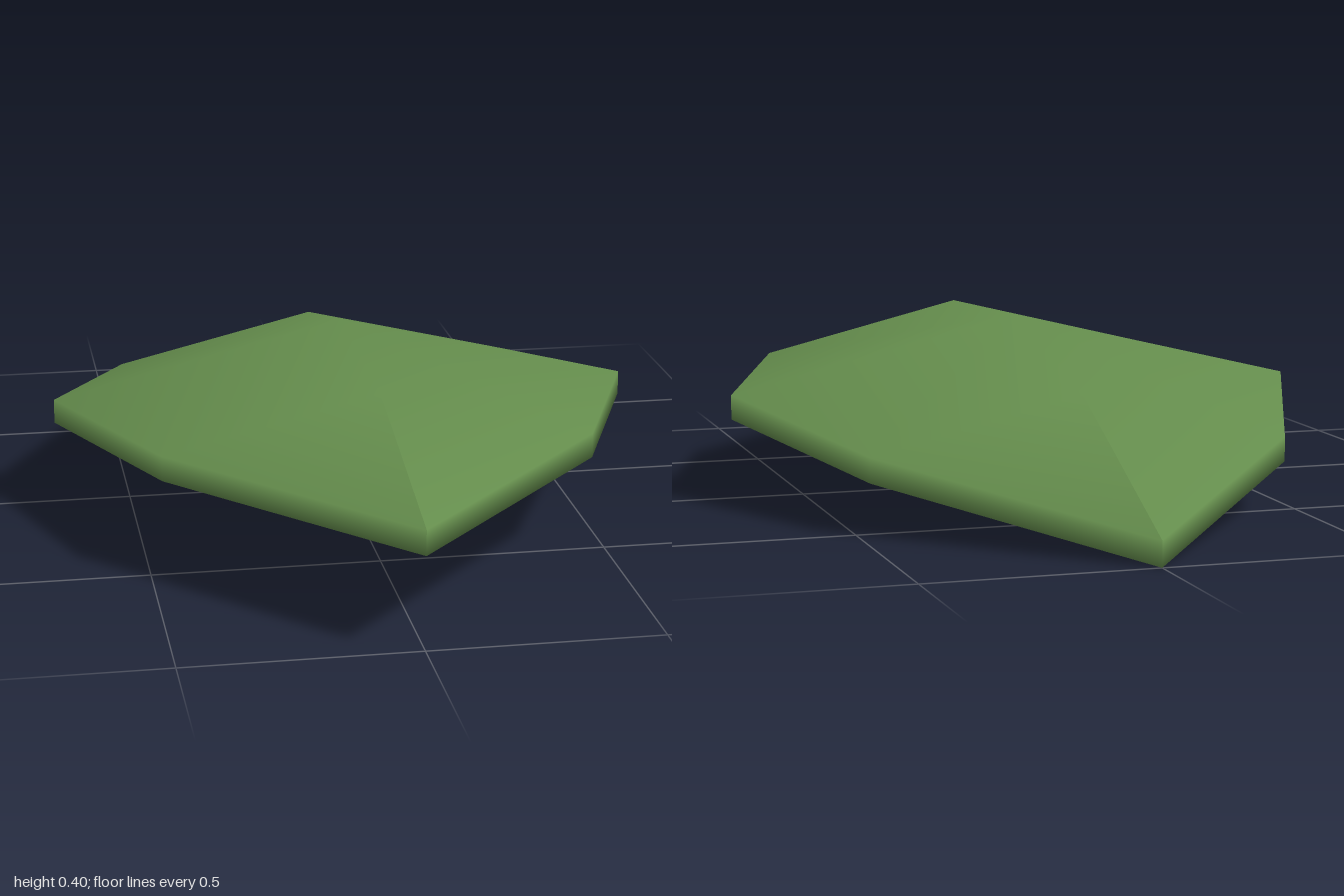
import * as THREE from 'three';

const THICKNESS = 0.055;

// Cross-sections from front tip to back tip: z, half width, ridge height, rim height
const SECTIONS = [
  [1.0, 0, 0.26, 0.26],
  [0.49, 0.47, 0.38, 0.265],
  [-0.02, 0.667, 0.4, 0.24],
  [-0.51, 0.47, 0.28, 0.167],
  [-1.0, 0, 0.057, 0.057],
];

function leafGeometry() {
  const positions = [];
  const indices = [];

  // Each section is a ring: top left, ridge, right, then the underside back again
  for (const [z, w, ridge, rim] of SECTIONS) {
    positions.push(-w, rim, z, 0, ridge, z, w, rim, z);
    positions.push(w, rim - THICKNESS, z, 0, ridge - THICKNESS, z, -w, rim - THICKNESS, z);
  }

  // Join neighbouring rings; the diagonals mirror about the ridge
  const last = SECTIONS.length - 2;
  for (let i = 0; i <= last; i++) {
    for (let k = 0; k < 6; k++) {
      const a = i * 6 + k;
      const b = i * 6 + ((k + 1) % 6);
      const c = b + 6;
      const d = a + 6;
      const wall = k % 3 === 2;
      const flip = (k % 3 === 1) !== (i >= 2);
      const tris = flip ? [[b, c, d], [a, b, d]] : [[a, c, d], [a, b, c]];
      // At the pointed tips one triangle of each top and bottom pair vanishes
      if (!wall && i === 0) tris.pop();
      if (!wall && i === last) tris.shift();
      indices.push(...tris.flat());
    }
  }

  const geometry = new THREE.BufferGeometry();
  geometry.setAttribute('position', new THREE.Float32BufferAttribute(positions, 3));
  geometry.setIndex(indices);
  geometry.computeVertexNormals();
  return geometry;
}

export function createModel() {
  const group = new THREE.Group();
  group.name = 'leaf';

  const leafGreen = new THREE.MeshStandardMaterial({ color: 0x648c4c });
  leafGreen.name = 'leaf green';

  // Folded, arched blade with a thin rim
  const blade = new THREE.Mesh(leafGeometry(), leafGreen);
  blade.name = 'leafBlade';
  group.add(blade);

  return group;
}
